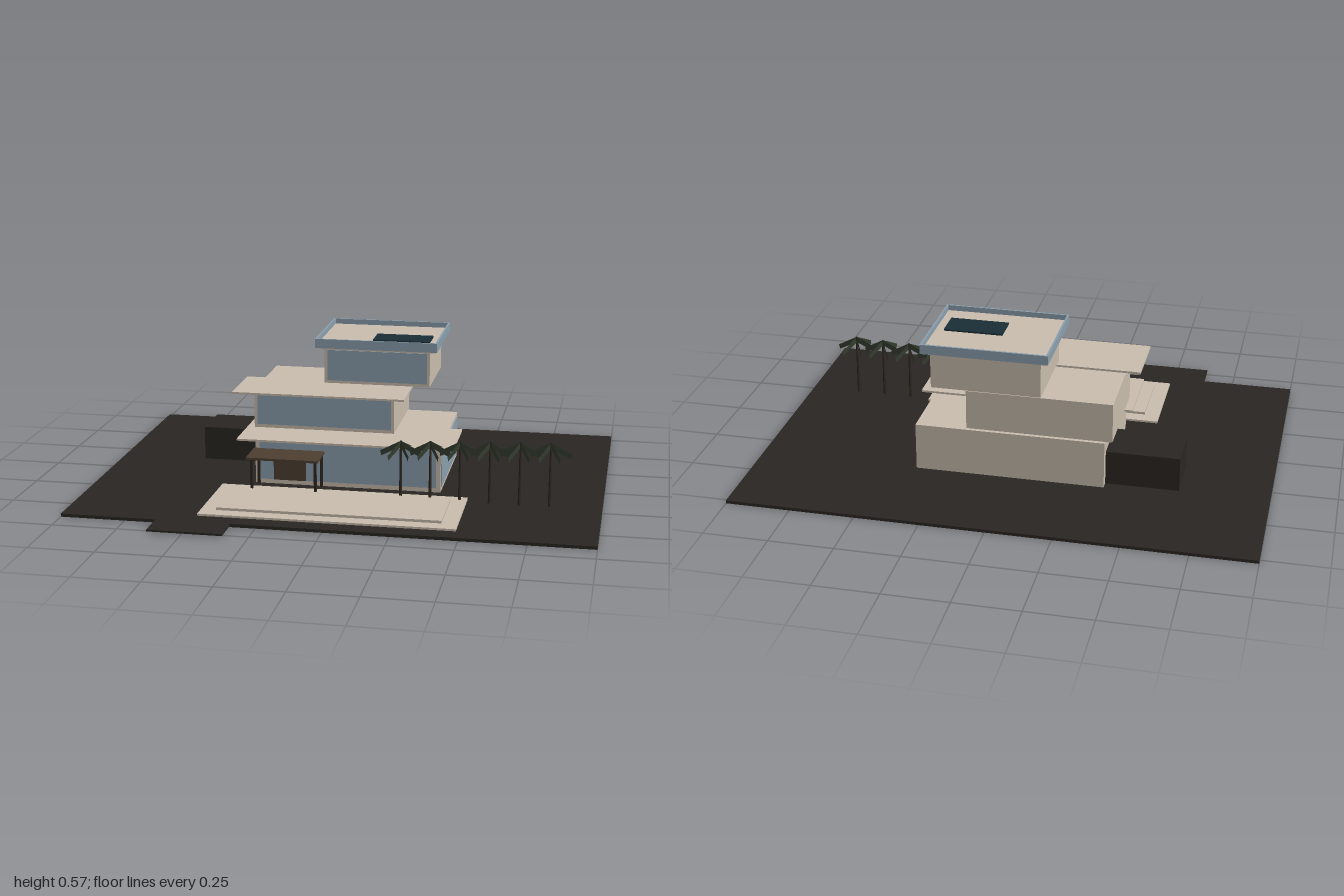
import * as THREE from 'three';

const mat = (color, side = THREE.FrontSide) =>
  new THREE.MeshStandardMaterial({ color, side, flatShading: true });

export function createModel() {
  const house = new THREE.Group();
  house.name = 'modernHouse';
  const wall = mat(0xc9bdad), glass = mat(0x8b9fae), earth = mat(0x2a2622);
  const wood = mat(0x4d3e30), darkWood = mat(0x2e261f), solar = mat(0x1a2e36);
  const leaf = mat(0x333d2e, THREE.DoubleSide);

  // Box given by its extents on each axis
  const box = (name, material, [x0, x1], [y0, y1], [z0, z1], parent = house) => {
    const mesh = new THREE.Mesh(new THREE.BoxGeometry(x1 - x0, y1 - y0, z1 - z0), material);
    mesh.position.set((x0 + x1) / 2, (y0 + y1) / 2, (z0 + z1) / 2);
    mesh.name = name;
    parent.add(mesh);
    return mesh;
  };

  // Site
  box('ground', earth, [-1, 1], [0, 0.012], [-0.775, 0.655]);
  box('driveway', earth, [-0.63, -0.345], [0.005, 0.012], [0.655, 0.77]);
  box('poolDeck', wall, [-0.49, 0.485], [0.012, 0.02], [0.21, 0.585]);
  box('poolSlab', wall, [-0.43, 0.425], [0.02, 0.03], [0.265, 0.53]);
  box('garage', earth, [-0.655, -0.37], [0.012, 0.148], [-0.335, -0.135]);

  // Three stacked storeys, each with a glazed front
  box('groundFloor', wall, [-0.37, 0.37], [0.012, 0.2], [-0.37, 0.145]);
  box('groundFrontWindow', glass, [-0.352, 0.352], [0.03, 0.188], [0.14, 0.148]);
  box('groundSideWindow', glass, [0.365, 0.373], [0.03, 0.186], [-0.355, 0.13]);
  box('frontDoor', wood, [-0.295, -0.165], [0.03, 0.118], [0.146, 0.152]);
  box('groundCanopy', wall, [-0.43, 0.425], [0.2, 0.208], [-0.085, 0.21]);

  box('middleFloor', wall, [-0.4, 0.167], [0.208, 0.365], [-0.37, 0.03]);
  box('middleWindow', glass, [-0.387, 0.155], [0.222, 0.352], [0.025, 0.033]);
  box('middleCanopy', wall, [-0.46, 0.225], [0.374, 0.382], [-0.1, 0.155]);

  box('topFloor', wall, [-0.13, 0.295], [0.382, 0.528], [-0.4, -0.057]);
  box('topWindow', glass, [-0.118, 0.284], [0.394, 0.518], [-0.06, -0.053]);

  // Roof slab inside a thin parapet
  box('roofSlab', wall, [-0.155, 0.32], [0.526, 0.546], [-0.421, -0.035]);
  box('parapetFront', glass, [-0.163, 0.327], [0.53, 0.567], [-0.036, -0.028]);
  box('parapetBack', glass, [-0.163, 0.327], [0.53, 0.567], [-0.428, -0.42]);
  box('parapetLeft', glass, [0.319, 0.327], [0.53, 0.567], [-0.42, -0.036]);
  box('parapetRight', glass, [-0.163, -0.155], [0.53, 0.567], [-0.42, -0.036]);
  box('solarPanel', solar, [0.055, 0.285], [0.546, 0.552], [-0.235, -0.12]);

  // Entrance pergola
  const pergola = new THREE.Group();
  pergola.name = 'pergola';
  house.add(pergola);
  box('pergolaRoof', wood, [-0.375, -0.09], [0.147, 0.156], [0.146, 0.285], pergola);
  for (const x of [-0.355, -0.102])
    for (const z of [0.152, 0.273])
      box('pergolaPost', darkWood, [x - 0.005, x + 0.005], [0.012, 0.147], [z - 0.005, z + 0.005], pergola);

  // Palm frond: an upright drooping blade along +x
  const blade = new THREE.Shape([
    new THREE.Vector2(0, 0), new THREE.Vector2(0.08, -0.042),
    new THREE.Vector2(0.076, -0.062), new THREE.Vector2(0, -0.024),
  ]);
  const frondGeometry = new THREE.ShapeGeometry(blade);

  // Row of palms growing slightly taller toward the end
  for (let i = 0; i < 6; i++) {
    const palm = new THREE.Group();
    palm.name = 'palmTree';
    palm.position.set(0.227 + i * 0.1146, 0.012, 0.24);
    const height = 0.231 + i * 0.0045;
    const trunk = new THREE.Mesh(new THREE.CylinderGeometry(0.004, 0.006, height, 6), darkWood);
    trunk.position.y = height / 2;
    trunk.name = 'palmTrunk';
    palm.add(trunk);
    for (let k = 0; k < 6; k++) {
      const frond = new THREE.Mesh(frondGeometry, leaf);
      frond.position.y = height;
      frond.rotation.y = (k * Math.PI) / 3;
      frond.name = 'palmFrond';
      palm.add(frond);
    }
    house.add(palm);
  }
  return house;
}
